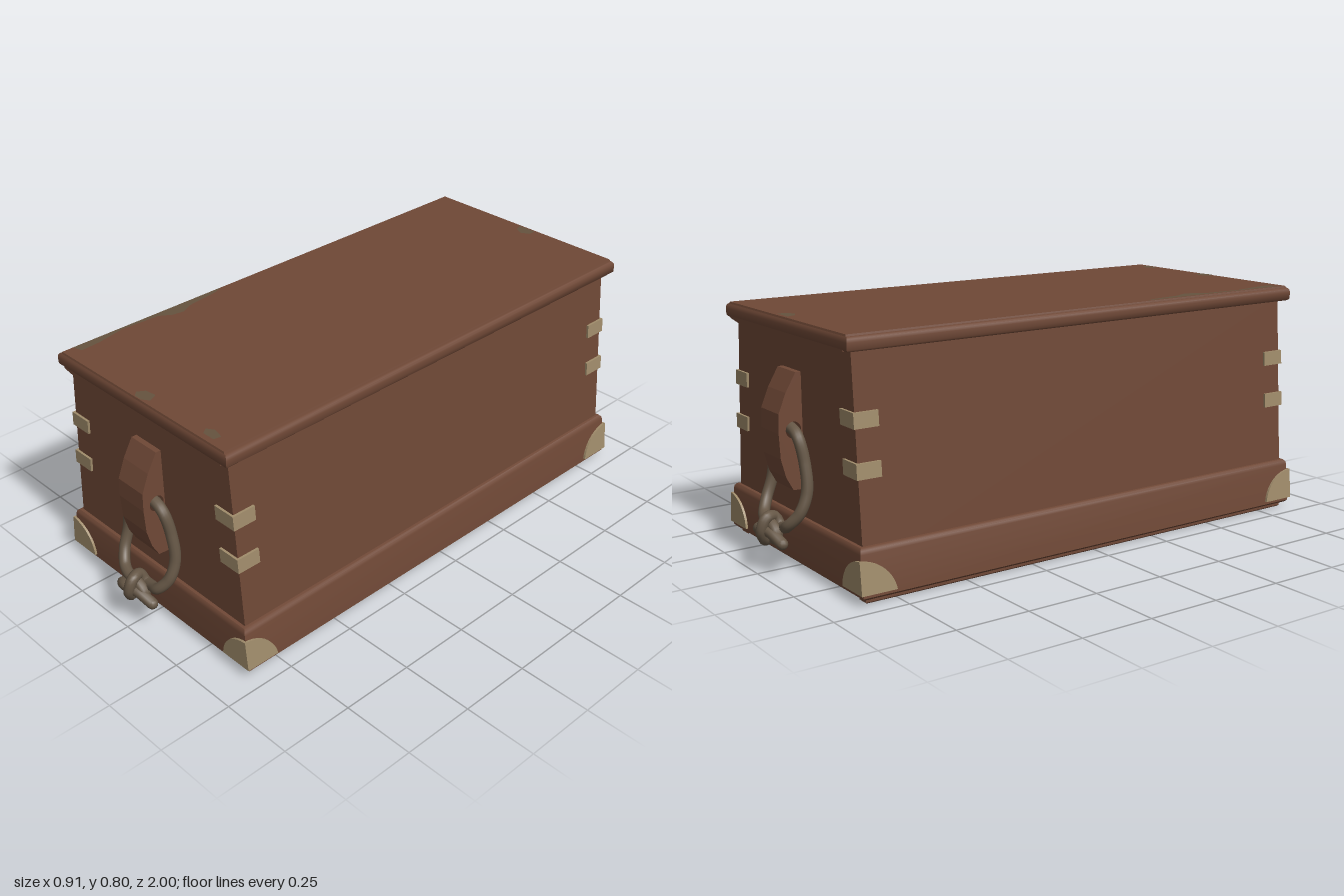
import * as THREE from 'three';
import { toCreasedNormals } from 'three/addons/utils/BufferGeometryUtils.js';

const material = (name, color) => {
  const m = new THREE.MeshStandardMaterial({ color });
  m.name = name;
  return m;
};

// Stacked rectangles [halfX, halfZ, y], closed at both ends
function loft(rings) {
  const pos = [], idx = [];
  for (const [x, z, y] of rings) pos.push(-x, y, z, x, y, z, x, y, -z, -x, y, -z);
  for (let r = 0; r < rings.length - 1; r++) {
    for (let i = 0; i < 4; i++) {
      const a = r * 4 + i, b = r * 4 + (i + 1) % 4;
      idx.push(a, b, b + 4, a, b + 4, a + 4);
    }
  }
  const t = (rings.length - 1) * 4;
  idx.push(0, 2, 1, 0, 3, 2, t, t + 1, t + 2, t, t + 2, t + 3);
  const g = new THREE.BufferGeometry();
  g.setAttribute('position', new THREE.Float32BufferAttribute(pos, 3));
  g.setIndex(idx);
  return toCreasedNormals(g, 0.75);
}

// Thin plate: shape in (distance from corner, y), bent onto a sloping wall
function wallPlate(shape, wall, halfZ, s, e, onEnd) {
  const g = new THREE.ExtrudeGeometry(shape, { depth: 0.009, bevelEnabled: false, curveSegments: 10 });
  const p = g.attributes.position;
  const verts = [];
  for (let i = 0; i < p.count; i++) {
    const u = p.getX(i), y = p.getY(i), d = p.getZ(i) - 0.001;
    verts.push(onEnd
      ? [s * (wall(y) - u), y, e * (halfZ + d)]
      : [s * (wall(y) + d), y, e * (halfZ - u)]);
  }
  // Restore outward winding on mirrored copies
  if ((onEnd ? -s * e : s * e) < 0) {
    for (let i = 0; i < verts.length; i += 3) [verts[i + 1], verts[i + 2]] = [verts[i + 2], verts[i + 1]];
  }
  const out = new THREE.BufferGeometry();
  out.setAttribute('position', new THREE.Float32BufferAttribute(verts.flat(), 3));
  out.computeVertexNormals();
  return out;
}

const polygon = (pts) => new THREE.Shape(pts.map(([x, y]) => new THREE.Vector2(x, y)));

export function createModel() {
  const wood = material('wood', 0x6f4836);
  const brass = material('brass', 0xa08c6b);
  const rope = material('rope', 0x665746);
  const worn = material('wornWood', 0x65533f);

  const chest = new THREE.Group();
  chest.name = 'chest';
  const add = (parent, name, geometry, mat) => {
    const mesh = new THREE.Mesh(geometry, mat);
    mesh.name = name;
    parent.add(mesh);
    return mesh;
  };

  const bodyWall = (y) => 0.43 - 0.07 * y;
  const baseWall = (y) => 0.452 - 0.1 * y;

  // Tapered body
  add(chest, 'body', loft([[bodyWall(0.1), 0.857, 0.1], [bodyWall(0.76), 0.857, 0.76]]), wood);

  // Plinth with a rounded top edge and a recessed underside
  add(chest, 'plinth', loft([
    [0.385, 0.825, 0.045], [0.385, 0.825, 0.02], [0.442, 0.868, 0.018], [0.449, 0.875, 0.025],
    [0.437, 0.875, 0.155], [0.434, 0.873, 0.166], [0.427, 0.867, 0.173], [0.41, 0.85, 0.174],
  ]), wood);

  // Lid with a beaded edge and a raised top panel
  add(chest, 'lid', loft([
    [0.37, 0.85, 0.747], [0.402, 0.879, 0.747], [0.408, 0.885, 0.753], [0.409, 0.886, 0.775],
    [0.407, 0.884, 0.785], [0.4, 0.88, 0.791], [0.394, 0.88, 0.791], [0.392, 0.878, 0.797],
  ]), wood);

  // Runners under the long sides
  for (const s of [-1, 1]) {
    const runner = add(chest, 'runner', loft([
      [0.016, 0.851, 0], [0.02, 0.855, 0.004], [0.02, 0.855, 0.03],
    ]), wood);
    runner.position.x = s * 0.408;
  }

  // Brass corner guards and straps, wrapped around each vertical edge
  const guard = new THREE.Shape();
  guard.moveTo(-0.008, 0.036);
  guard.lineTo(0.112, 0.036);
  guard.bezierCurveTo(0.105, 0.085, 0.06, 0.135, -0.008, 0.139);
  guard.closePath();
  const strap = (y) => polygon([[-0.008, y], [0.075, y], [0.075, y + 0.048], [-0.008, y + 0.048]]);
  for (const s of [-1, 1]) for (const e of [-1, 1]) for (const onEnd of [true, false]) {
    add(chest, 'cornerGuard', wallPlate(guard, baseWall, 0.875, s, e, onEnd), brass);
    for (const y of [0.372, 0.521]) {
      add(chest, 'strap', wallPlate(strap(y), bodyWall, 0.857, s, e, onEnd), brass);
    }
  }

  // Each end: gable under the lid, handle block and knotted rope
  const block = polygon([
    [0.85, 0.635], [0.875, 0.635], [0.91, 0.575], [0.936, 0.512], [0.938, 0.45],
    [0.934, 0.37], [0.918, 0.31], [0.895, 0.267], [0.85, 0.265],
  ]);
  const bore = new THREE.Path();
  bore.absarc(0.888, 0.457, 0.026, 0, Math.PI * 2, true);
  block.holes.push(bore);

  const half = [
    [0.09, 0.437, 0.888], [0.108, 0.36, 0.878], [0.12, 0.27, 0.88],
    [0.115, 0.205, 0.905], [0.085, 0.165, 0.93],
  ];
  const ropePath = [
    [0.07, 0.105, 0.945], [0.02, 0.132, 0.96], [-0.03, 0.137, 0.972], [-0.066, 0.118, 0.955],
    [-0.052, 0.095, 0.94], [-0.018, 0.1, 0.962], [0, 0.135, 0.98], [0.004, 0.175, 0.965],
    [-0.008, 0.172, 0.93], [0.005, 0.143, 0.918], [0.045, 0.148, 0.922],
    ...[...half].reverse(),
    [0.055, 0.458, 0.888], [-0.055, 0.458, 0.888],
    ...half.map(([x, y, z]) => [-x, y, z]),
    [-0.04, 0.155, 0.945], [0.005, 0.155, 0.948], [0.035, 0.128, 0.945], [0.01, 0.105, 0.938],
    [-0.04, 0.1, 0.93],
  ].map((p) => new THREE.Vector3(...p));
  const ropeGeometry = new THREE.TubeGeometry(new THREE.CatmullRomCurve3(ropePath), 200, 0.0185, 12);

  for (const turn of [0, Math.PI]) {
    const end = new THREE.Group();
    end.name = turn ? 'backEnd' : 'frontEnd';
    end.rotation.y = turn;
    chest.add(end);

    const gable = add(end, 'gable', new THREE.ExtrudeGeometry(
      polygon([[-0.38, 0.746], [0, 0.683], [0.38, 0.746], [0.38, 0.757], [-0.38, 0.757]]),
      { depth: 0.034, bevelEnabled: false }), wood);
    gable.position.z = 0.85;

    const handle = add(end, 'handleBlock',
      new THREE.ExtrudeGeometry(block, { depth: 0.12, bevelEnabled: false, curveSegments: 16 }), wood);
    handle.rotation.y = -Math.PI / 2;
    handle.position.x = 0.06;

    add(end, 'ropeHandle', ropeGeometry, rope);
    for (const p of [ropePath[0], ropePath[ropePath.length - 1]]) {
      const tip = add(end, 'ropeTip', new THREE.SphereGeometry(0.0185, 12, 8), rope);
      tip.position.copy(p);
    }
  }

  // Worn patches on the lid, as [x, z] outlines
  const patches = [
    [[-0.39, 0.24], [-0.375, 0.28], [-0.36, 0.4], [-0.34, 0.44], [-0.345, 0.48], [-0.372, 0.52],
      [-0.38, 0.66], [-0.36, 0.76], [-0.355, 0.83], [-0.39, 0.84]],
    [[-0.01, -0.87], [0.06, -0.87], [0.06, -0.84], [0.03, -0.825], [0, -0.84]],
    [[-0.035, 0.86], [-0.02, 0.835], [0.02, 0.83], [0.035, 0.86], [0.01, 0.876], [-0.02, 0.876]],
    [[0.265, 0.84], [0.29, 0.825], [0.33, 0.835], [0.325, 0.86], [0.28, 0.86]],
  ];
  for (const outline of patches) {
    const patch = add(chest, 'wornPatch',
      new THREE.ShapeGeometry(polygon(outline.map(([x, z]) => [x, -z]))), worn);
    patch.rotation.x = -Math.PI / 2;
    patch.position.y = 0.7985;
  }

  return chest;
}
